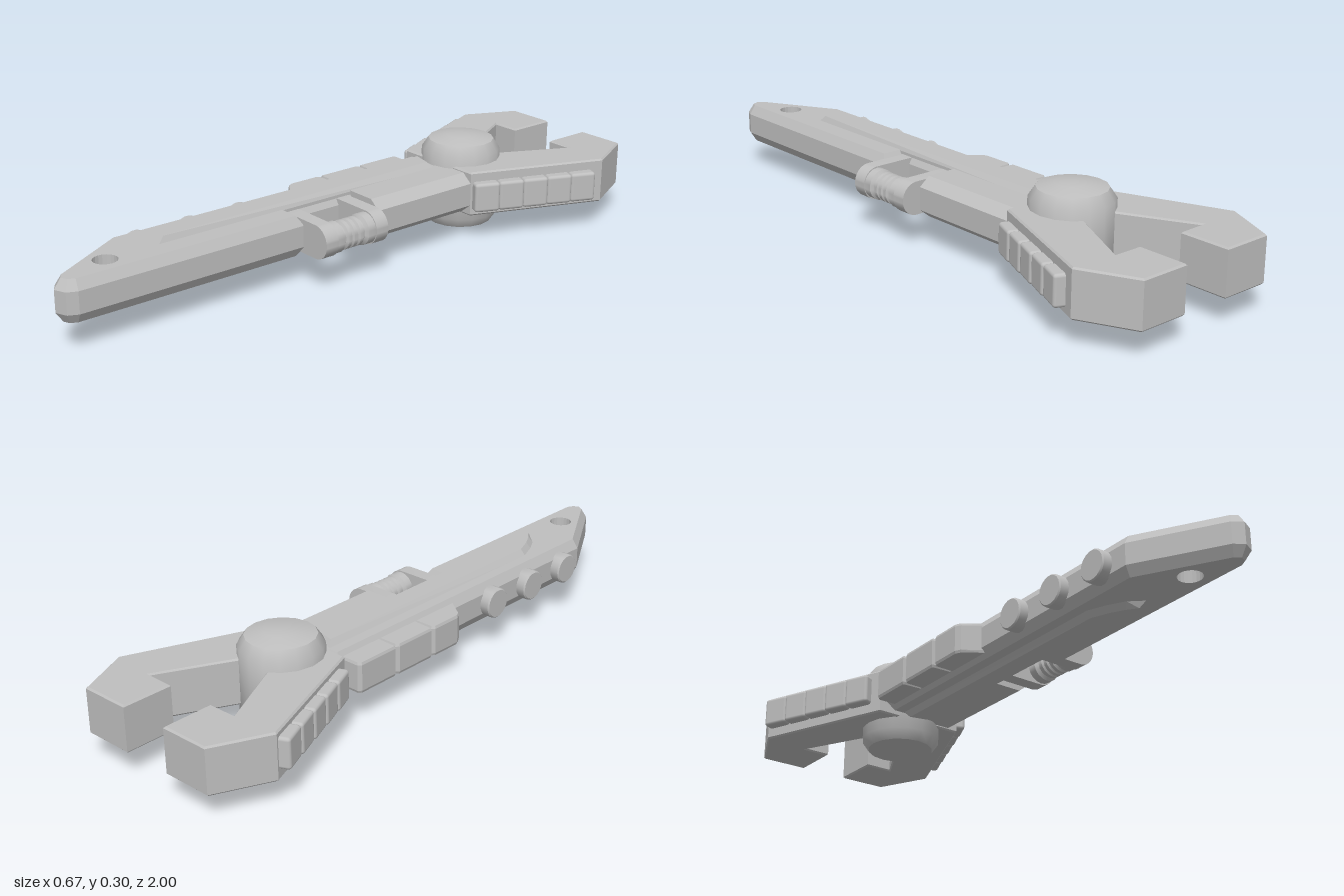
import * as THREE from 'three';
import { RoundedBoxGeometry } from 'three/addons/geometries/RoundedBoxGeometry.js';
import { toCreasedNormals } from 'three/addons/utils/BufferGeometryUtils.js';

const MID = 0.153; // height of the central plane

const shapeOf = (points) => new THREE.Shape(points.map(([x, y]) => new THREE.Vector2(x, y)));

// Flat plate from an (x, z) outline, centred on the central plane, with chamfered edges
function plate(shape, height, inset, drop) {
  const geo = new THREE.ExtrudeGeometry(shape, {
    depth: height - 2 * drop, bevelEnabled: true, bevelSegments: 1,
    bevelSize: inset, bevelOffset: -inset, bevelThickness: drop, curveSegments: 10,
  });
  geo.rotateX(Math.PI / 2);
  geo.translate(0, MID + height / 2 - drop, 0);
  return geo;
}

// Smooth turned part from (radius, height) points
function turned(points, sides) {
  const geo = new THREE.LatheGeometry(points.map(([r, y]) => new THREE.Vector2(r, y)), sides);
  return toCreasedNormals(geo, 0.7);
}

export function createModel() {
  const model = new THREE.Group();
  model.name = 'wrenchKey';
  const grey = new THREE.MeshStandardMaterial({ color: 0xbfbfbf });
  grey.name = 'grey';

  function add(name, geo, x = 0, y = 0, z = 0) {
    const mesh = new THREE.Mesh(geo, grey);
    mesh.name = name;
    mesh.position.set(x, y, z);
    model.add(mesh);
    return mesh;
  }

  // Long shaft with a slanted tip and a hanging hole
  const hole = { x: 0.013, z: 0.825, r: 0.036 };
  const shaft = shapeOf([
    [-0.128, -0.41], [0.025, -0.41], [0.025, 0.21], [0.094, 0.21], [0.094, 0.955],
    [0.08, 0.985], [0.045, 1], [0.015, 0.98], [-0.128, 0.73],
  ]);
  shaft.holes.push(new THREE.Path().absarc(hole.x, hole.z, hole.r, 0, Math.PI * 2, true));
  const shaftGeo = plate(shaft, 0.126, 0.018, 0.03);
  // Keep the hole's wall straight where the chamfer would widen it
  const pos = shaftGeo.attributes.position;
  for (let i = 0; i < pos.count; i++) {
    const dx = pos.getX(i) - hole.x, dz = pos.getZ(i) - hole.z, d = Math.hypot(dx, dz);
    if (d < 0.06) {
      pos.setX(i, hole.x + dx / d * hole.r);
      pos.setZ(i, hole.z + dz / d * hole.r);
    }
  }
  shaftGeo.computeVertexNormals();
  add('shaft', shaftGeo);

  // Thicker block beside the shaft, next to the jaws
  const block = shapeOf([
    [0, -0.064], [0.11, -0.064], [0.145, -0.036], [0.145, 0.036], [0.11, 0.064], [0, 0.064],
  ]);
  add('sideBlock', new THREE.ExtrudeGeometry(block, { depth: 0.385, bevelEnabled: false }), 0, MID, -0.415);

  // Raised rib on both faces
  add('rib', plate(shapeOf([
    [-0.078, -0.39], [0.014, -0.37], [0.014, 0.655], [-0.03, 0.615], [-0.055, 0.57], [-0.078, 0.51],
  ]), 0.162, 0.016, 0.02));

  // Jaws and their grip scales, mirrored
  const centre = -0.005;
  for (const side of [1, -1]) {
    const label = side > 0 ? 'left' : 'right';
    const points = [
      [0, -0.41], [0.15, -0.41], [0.318, -0.83], [0.238, -1], [0.08, -1],
      [0.08, -0.84], [0.17, -0.84], [0.052, -0.61], [0, -0.56],
    ].map(([x, z]) => [centre + side * x, z]);
    add(label + 'Jaw', plate(shapeOf(points), 0.144, 0.005, 0.005));
    const shift = side > 0 ? 0 : -0.027;
    for (let i = 0; i < 5; i++) {
      const z = -0.455 - i * 0.076 + shift;
      const x = 0.15 + (-0.41 - z) * 0.4;
      const scale = add(label + 'JawScale', new RoundedBoxGeometry(0.062, 0.094, 0.083, 2, 0.01),
        centre + side * x, side > 0 ? 0.147 : 0.161, z);
      scale.rotation.y = -side * 0.42;
    }
  }

  // Large domed pivot
  add('pivot', turned([
    [0, 0], [0.05, 0.003], [0.104, 0.014], [0.125, 0.045], [0.125, 0.253],
    [0.104, 0.284], [0.05, 0.297], [0, 0.3],
  ], 16), -0.008, 0, -0.51);

  // Grip pads along the right edge, the last one tapered
  for (let i = 0; i < 3; i++) {
    const z0 = -0.383 + i * 0.157, z1 = z0 + 0.155;
    const taper = i === 2 ? 0.045 : 0.006;
    add('gripPad', plate(shapeOf([
      [-0.11, z0], [-0.178, z0], [-0.187, z0 + 0.01], [-0.187, z1 - taper],
      [-0.178, z1 - taper * 0.6], [-0.11, z1 + (i === 2 ? 0.02 : 0)],
    ]), 0.096, 0.003, 0.008));
  }

  // Round buttons further down the same edge
  for (const z of [0.27, 0.45, 0.63]) {
    const button = add('button', turned([
      [0, -0.05], [0.02, -0.045], [0.04, -0.02], [0.048, 0], [0.048, 0.042], [0.044, 0.046], [0, 0.046],
    ], 18), -0.114, MID, z);
    button.rotation.z = Math.PI / 2;
  }

  // Side loop: two rounded arms carrying a ribbed bar
  const arm = new THREE.Shape();
  arm.moveTo(0, -0.052);
  arm.lineTo(0.15, -0.052);
  arm.absarc(0.15, 0, 0.052, -Math.PI / 2, Math.PI / 2, false);
  arm.lineTo(0, 0.052);
  for (const z of [-0.02, 0.168]) {
    const geo = new THREE.ExtrudeGeometry(arm, { depth: 0.045, bevelEnabled: false, curveSegments: 12 });
    add('loopArm', toCreasedNormals(geo, 0.6), 0, MID, z);
  }
  const profile = [[0.048, -0.08], [0.048, -0.045], [0.037, -0.038]];
  for (const y of [-0.022, 0, 0.022]) {
    profile.push([0.037, y - 0.011], [0.045, y - 0.006], [0.045, y + 0.006], [0.037, y + 0.011]);
  }
  profile.push([0.037, 0.038], [0.048, 0.045], [0.048, 0.08]);
  const bar = add('loopBar', turned(profile, 18), 0.152, MID, 0.097);
  bar.rotation.x = Math.PI / 2;

  return model;
}
